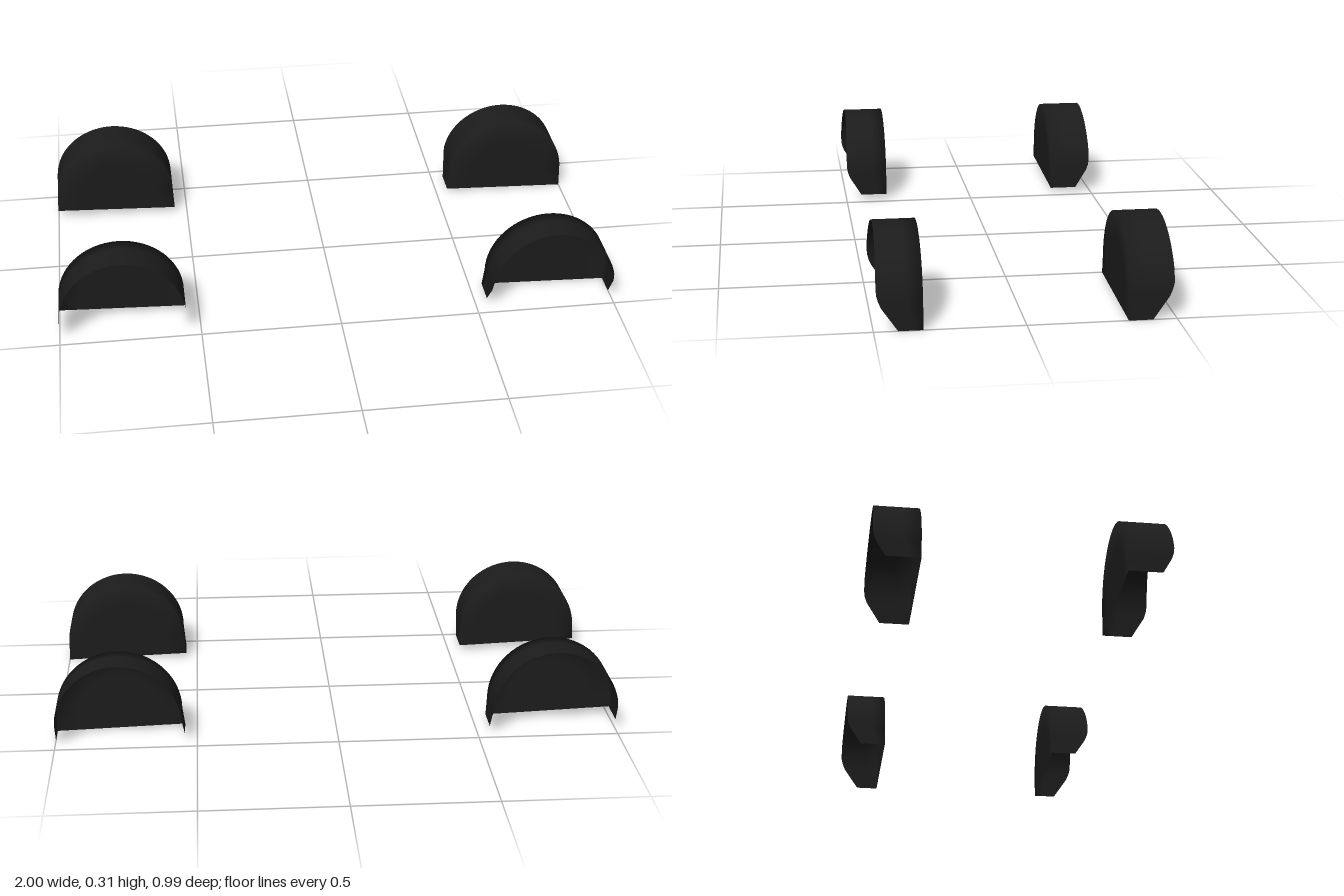
import * as THREE from 'three';

const material = new THREE.MeshStandardMaterial({ color: 0x1c1c1c, side: THREE.DoubleSide });
const INNER_Z = 0.338;

// Arch outline from the low-x bottom corner, over the top, to the high-x corner
function archOutline({ cx, cy, r, low, high }) {
  const points = [new THREE.Vector2(...low)];
  const steps = 32;
  for (let i = 0; i <= steps; i++) {
    const a = Math.PI * (1 - i / steps);
    points.push(new THREE.Vector2(cx + r * Math.cos(a), cy + r * Math.sin(a)));
  }
  points.push(new THREE.Vector2(...high));
  return points;
}

// The outer lip tucks inward near the bottom and dips slightly at the crown
function lipZ(y, lip) {
  const tuck = Math.max(0, (0.13 - y) / 0.13);
  const crown = Math.max(0, (y - 0.18) / 0.13);
  return lip - 0.07 * Math.pow(tuck, 1.6) - 0.006 * Math.min(1, crown);
}

// Flat inner wall lofted into the arched shell, open at the outside and bottom
function linerGeometry(spec, side) {
  const outline = archOutline(spec);
  const base = new THREE.Vector2(...spec.low).lerp(new THREE.Vector2(...spec.high), 0.5);
  const rows = [];
  for (const t of [0, 0.35, 0.7, 1]) {
    rows.push(outline.map(p => {
      const q = base.clone().lerp(p, t);
      return [q.x, q.y, side * INNER_Z];
    }));
  }
  for (const t of [0.35, 0.7, 1]) {
    rows.push(outline.map(p => [
      p.x, p.y, side * THREE.MathUtils.lerp(INNER_Z, lipZ(p.y, spec.lip), t),
    ]));
  }

  const n = outline.length;
  const index = [];
  for (let k = 0; k < rows.length - 1; k++) {
    for (let i = 0; i < n - 1; i++) {
      const a = k * n + i, b = a + n, c = b + 1, d = a + 1;
      if (side > 0) index.push(a, b, c, a, c, d);
      else index.push(a, c, b, a, d, c);
    }
  }
  const geometry = new THREE.BufferGeometry();
  geometry.setAttribute('position', new THREE.Float32BufferAttribute(rows.flat(2), 3));
  geometry.setIndex(index);
  geometry.computeVertexNormals();
  return geometry;
}

export function createModel() {
  const group = new THREE.Group();
  group.name = 'wheelArchLiners';

  // The two ends of the vehicle differ slightly in height and tilt
  const ends = {
    Right: { cx: -0.774, cy: 0.0895, r: 0.2235, low: [-1, 0.035], high: [-0.547, 0.017], lip: 0.496 },
    Left: { cx: 0.775, cy: 0.0785, r: 0.2235, low: [0.543, 0.015], high: [1, 0], lip: 0.49 },
  };
  for (const [end, spec] of Object.entries(ends)) {
    for (const side of [1, -1]) {
      const liner = new THREE.Mesh(linerGeometry(spec, side), material);
      liner.name = `${side > 0 ? 'front' : 'back'}${end}ArchLiner`;
      group.add(liner);
    }
  }
  return group;
}
